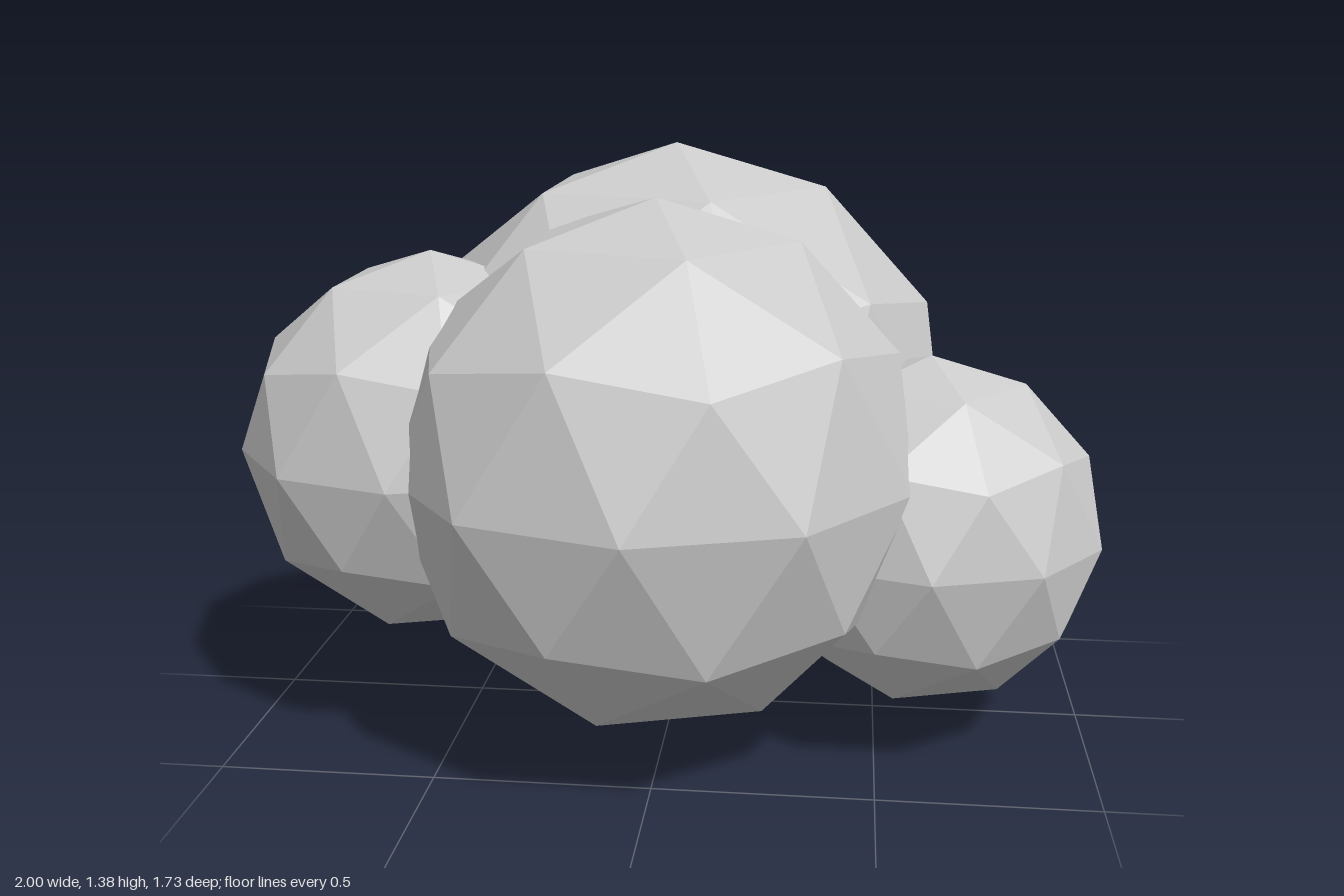
import * as THREE from 'three';

// Faceted ball with one vertex straight up and an upper-ring vertex towards +x
function clump(name, radius, x, y, z, material) {
  const geometry = new THREE.IcosahedronGeometry(radius, 1);
  geometry.rotateZ(-Math.atan2(2, 1 + Math.sqrt(5)));
  const mesh = new THREE.Mesh(geometry, material);
  mesh.name = name;
  mesh.position.set(x, y, z);
  return mesh;
}

export function createModel() {
  const group = new THREE.Group();
  group.name = 'bush';
  const foliage = new THREE.MeshStandardMaterial({ color: 0xcccccc, flatShading: true });

  // Four overlapping clumps of foliage
  group.add(
    clump('backClump', 0.691, -0.014, 0.694, -0.177, foliage),
    clump('frontClump', 0.606, -0.014, 0.696, 0.26, foliage),
    clump('leftClump', 0.413, 0.605, 0.518, 0.11, foliage),
    clump('rightClump', 0.458, -0.563, 0.697, 0.108, foliage),
  );
  return group;
}
